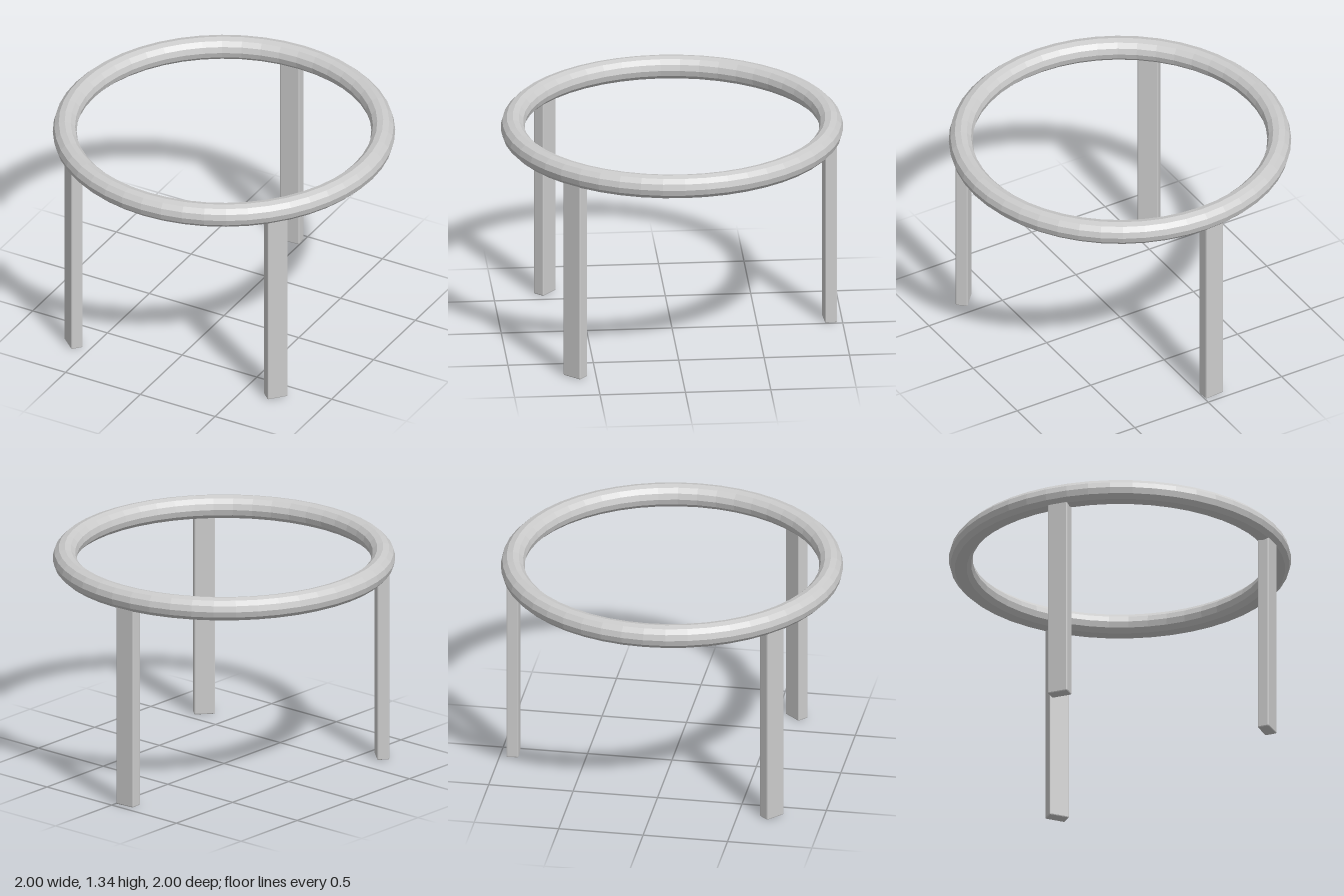
import * as THREE from 'three';
import { RoundedBoxGeometry } from 'three/addons/geometries/RoundedBoxGeometry.js';

export function createModel() {
  const group = new THREE.Group();
  const material = new THREE.MeshStandardMaterial({ color: 0xcccccc, flatShading: true });

  // Ring lying flat on top of the legs
  const ringRadius = 0.93, tubeRadius = 0.07, ringY = 1.27;
  const ring = new THREE.Mesh(new THREE.TorusGeometry(ringRadius, tubeRadius, 12, 48), material);
  ring.name = 'ring';
  ring.rotation.x = -Math.PI / 2;
  ring.position.y = ringY;
  group.add(ring);

  // Slightly chamfered flat legs, broad side along the ring, tops sunk into the tube
  const legHeight = 1.25;
  const legGeometry = new RoundedBoxGeometry(0.124, legHeight, 0.072, 1, 0.007);
  const legs = { frontRightLeg: -41.5, frontLeftLeg: 48.2, backLeg: 184 };
  for (const [name, degrees] of Object.entries(legs)) {
    const angle = THREE.MathUtils.degToRad(degrees);
    const leg = new THREE.Mesh(legGeometry, material);
    leg.name = name;
    leg.position.set(Math.sin(angle) * ringRadius, legHeight / 2, Math.cos(angle) * ringRadius);
    leg.rotation.y = angle;
    group.add(leg);
  }
  return group;
}
